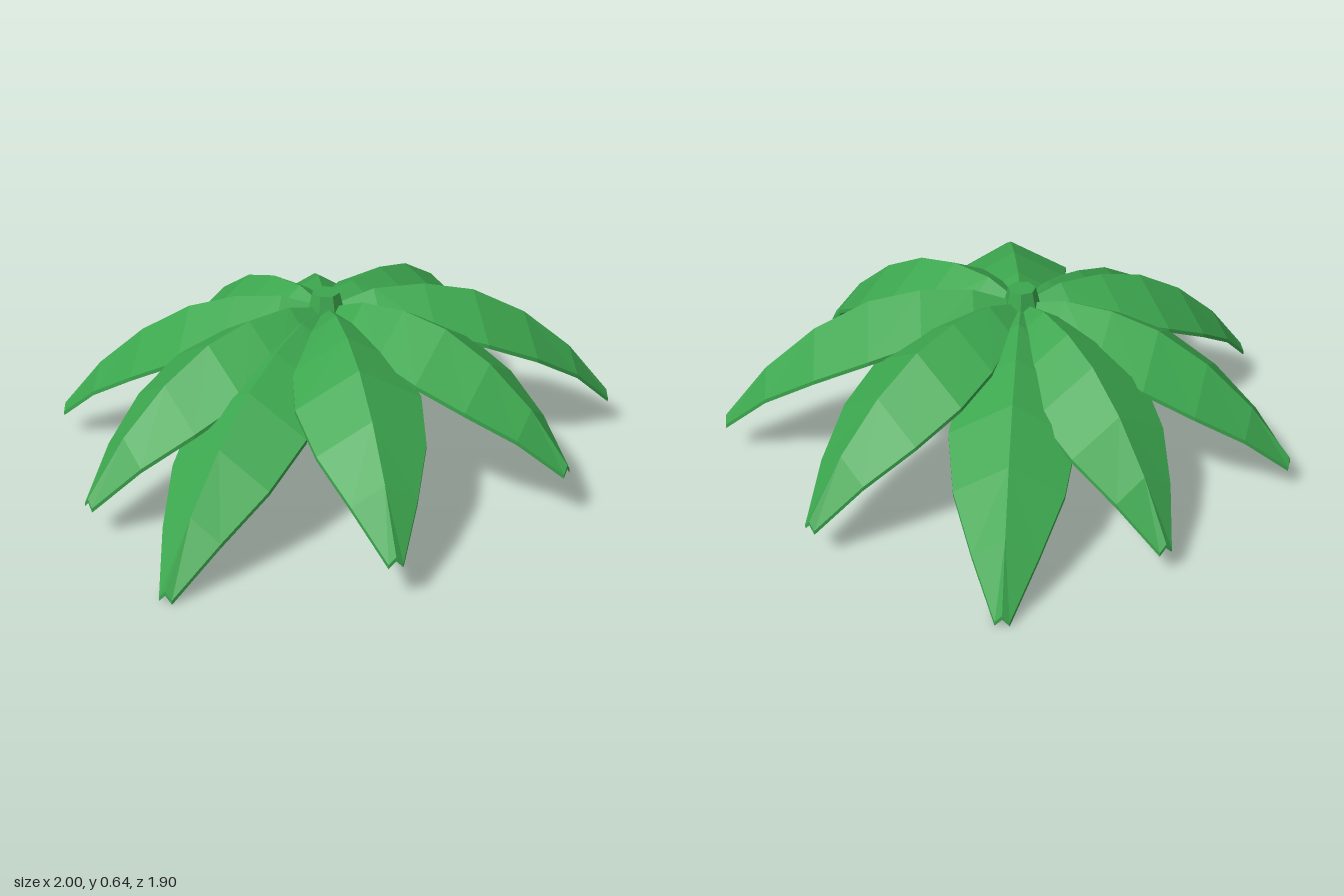
import * as THREE from 'three';

const CENTRE = new THREE.Vector2(-0.03, 0); // where the fronds meet (x, z)
const BASE_Y = 0.58;

// frond stations: [distance along, half width, arch height]
const STATIONS = [
  [0, 0.04, 0], [0.16, 0.115, 0.128], [0.33, 0.187, 0.205], [0.5, 0.213, 0.24],
  [0.68, 0.182, 0.215], [0.85, 0.108, 0.134], [1, 0.024, 0],
];

// frond tips: [x, z, ridge height, arch strength]
const TIPS = [
  [0.42, -0.94, 0.04, 0.75], [0.88, -0.38, 0.145, 0.92], [0.99, 0.35, 0.145, 1],
  [0.43, 0.82, 0.215, 0.87], [-0.325, 0.94, 0.17, 0.82], [-0.945, 0.575, 0.04, 0.75],
  [-1.0, 0.1, 0.145, 0.87], [-0.795, -0.625, 0.12, 0.84], [-0.17, -0.9, 0.12, 0.85],
];

// thin roof-shaped blade swept along an arch, with hard facets
function frondGeometry([tx, tz, tipY, arch]) {
  const dx = tx - CENTRE.x, dz = tz - CENTRE.y;
  const len = Math.hypot(dx, dz);
  const px = -dz / len, pz = dx / len;
  const thick = 0.015;
  const positions = [], index = [];
  for (const [u, w, rise] of STATIONS) {
    const x = CENTRE.x + dx * u, z = CENTRE.y + dz * u;
    const y = BASE_Y + (tipY - BASE_Y) * u + rise * arch;
    const drop = 0.5 * w + 0.014;
    const ring = [[0, 0], [w, drop], [w, drop + thick], [0, thick], [-w, drop + thick], [-w, drop]];
    for (const [s, d] of ring) positions.push(x + px * s, y - d, z + pz * s);
  }
  for (let i = 0; i < STATIONS.length - 1; i++) {
    for (let j = 0; j < 6; j++) {
      const a = i * 6 + j, b = i * 6 + (j + 1) % 6;
      // mirror the diagonal on the other half of the blade
      if (j < 3) index.push(a, b, b + 6, a, b + 6, a + 6);
      else index.push(a, b, a + 6, b, b + 6, a + 6);
    }
  }
  // notched tip
  const t = (STATIONS.length - 1) * 6;
  index.push(t, t + 1, t + 2, t, t + 2, t + 3, t, t + 3, t + 4, t, t + 4, t + 5);
  const indexed = new THREE.BufferGeometry();
  indexed.setAttribute('position', new THREE.Float32BufferAttribute(positions, 3));
  indexed.setIndex(index);
  const geometry = indexed.toNonIndexed();
  geometry.computeVertexNormals();
  return geometry;
}

// faceted tapered prism
function prism(top, bottom, height, sides) {
  const geometry = new THREE.CylinderGeometry(top, bottom, height, sides).toNonIndexed();
  geometry.computeVertexNormals();
  return geometry;
}

export function createModel() {
  const model = new THREE.Group();
  model.name = 'palmCrown';
  const leafGreen = new THREE.MeshStandardMaterial({ color: 0x3ca64e });
  leafGreen.name = 'leafGreen';
  const nutBrown = new THREE.MeshStandardMaterial({ color: 0x86583a });
  nutBrown.name = 'nutBrown';

  const add = (name, geometry, material, x = 0, y = 0, z = 0) => {
    const mesh = new THREE.Mesh(geometry, material);
    mesh.name = name;
    mesh.position.set(x, y, z);
    model.add(mesh);
    return mesh;
  };

  TIPS.forEach((tip, i) => add(`frond${i + 1}`, frondGeometry(tip), leafGreen));

  // central bud joining the fronds
  add('bud', prism(0.05, 0.085, 0.15, 7), leafGreen, CENTRE.x, 0.565, CENTRE.y);

  // coconuts hanging under the crown
  const nuts = [[0.075, 0.025], [0.045, -0.12], [-0.115, -0.065], [-0.08, 0.09]];
  nuts.forEach(([x, z], i) => {
    const nut = add(`coconut${i + 1}`, prism(0.034, 0.056, 0.12, 6), nutBrown, x, 0.46, z);
    nut.rotation.y = i * 0.7;
  });

  return model;
}
